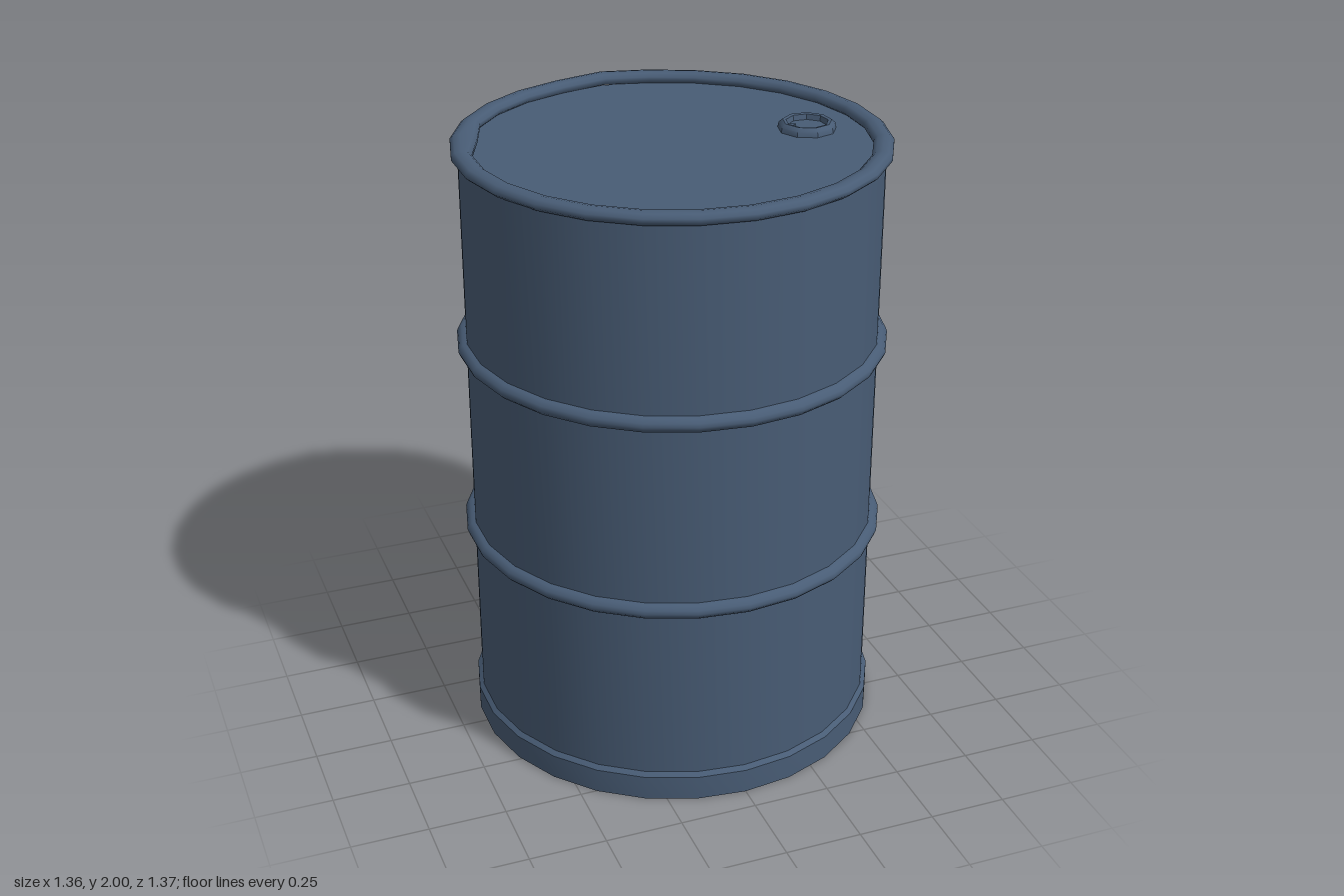
import * as THREE from 'three';
import { toCreasedNormals } from 'three/addons/utils/BufferGeometryUtils.js';

const SIDES = 26;

// Revolve [radius, height] pairs; seams over the crease angle stay sharp
function revolve(profile, sides = SIDES, crease = 0.65) {
  const points = profile.map(([r, y]) => new THREE.Vector2(r, y));
  return new THREE.LatheGeometry(points, sides);
}

export function createModel() {
  const group = new THREE.Group();
  const paint = new THREE.MeshStandardMaterial({ color: 0x485c75 });

  function add(name, geometry, x = 0, y = 0, z = 0, crease = 0.65) {
    const mesh = new THREE.Mesh(toCreasedNormals(geometry, crease), paint);
    mesh.name = name;
    mesh.position.set(x, y, z);
    group.add(mesh);
    return mesh;
  }

  // Straight wall of the drum
  add('wall', revolve([[0.657, 0.06], [0.657, 1.97]]));

  // Base band with a shallow recessed underside
  add('baseBand', revolve([
    [0, 0.02], [0.64, 0.02], [0.645, 0], [0.671, 0], [0.671, 0.082], [0.656, 0.096],
  ]));

  // Two rolling hoops
  for (const y of [0.7, 1.337]) {
    add('hoop', revolve([
      [0.655, -0.026], [0.67, -0.022], [0.681, -0.011], [0.685, 0],
      [0.681, 0.011], [0.67, 0.022], [0.655, 0.026],
    ]), 0, y, 0, 0.9);
  }

  // Flat lid
  add('lid', revolve([[0.64, 1.957], [0, 1.957]]));

  // Rolled top rim
  const roll = [];
  for (let i = 0; i <= 10; i++) {
    const a = -Math.PI / 2 + (i / 10) * Math.PI * 2;
    roll.push([0.646 + Math.cos(a) * 0.033, 1.972 + Math.sin(a) * 0.021]);
  }
  const rim = revolve(roll);
  const pos = rim.attributes.position;
  for (let i = 0; i < pos.count; i++) {
    const x = pos.getX(i), y = pos.getY(i), z = pos.getZ(i);
    const angle = Math.atan2(x, -z);
    // Slight bend at the back edge
    const bend = Math.max(0, 1 - Math.abs(angle - 0.03) / 0.3);
    // Small dent in the inner edge, back right
    const dent = Math.hypot(x, z) < 0.645 && Math.abs(angle + 1.21) < 0.1 ? 0.965 : 1;
    const scale = dent * (1 + bend * 0.007);
    pos.setXYZ(i, x * scale, y + bend * 0.007, z * scale);
  }
  add('rim', rim, 0, 0, 0, 0.9);

  // Filler cap: faceted collar around a sunken plug
  const collar = add('fillerCollar', revolve([
    [0.093, 0], [0.09, 0.016], [0.078, 0.027], [0.067, 0.025], [0.063, 0.006],
  ], 9), 0.45, 1.957, 0);
  collar.rotation.y = -0.05;
  add('fillerPlug', revolve([[0.066, 0.008], [0, 0.008]], 9), 0.45, 1.957, 0);

  // Small pointed tab inside the collar
  const tab = new THREE.Shape();
  tab.moveTo(-0.068, -0.02);
  tab.lineTo(-0.038, 0);
  tab.lineTo(-0.068, 0.02);
  const tabGeometry = new THREE.ExtrudeGeometry(tab, { depth: 0.014, bevelEnabled: false });
  tabGeometry.rotateX(-Math.PI / 2);
  add('fillerTab', tabGeometry, 0.45, 1.963, 0);

  return group;
}
